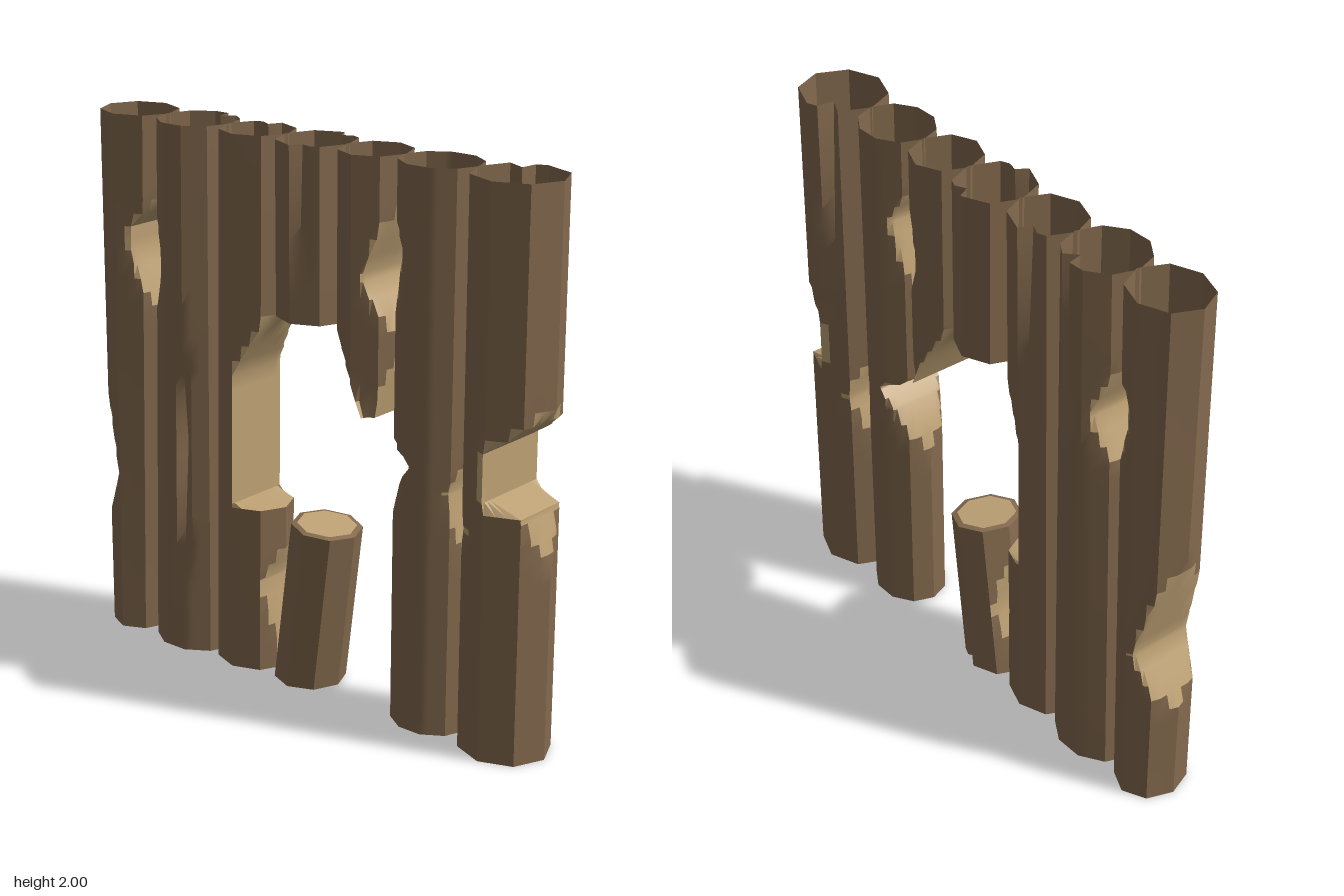
import * as THREE from 'three';
import { toCreasedNormals } from 'three/addons/utils/BufferGeometryUtils.js';

const bark = new THREE.MeshStandardMaterial({ color: 0x846a4e, side: THREE.DoubleSide });
bark.name = 'bark brown';
const wood = new THREE.MeshStandardMaterial({ color: 0xbfa275, side: THREE.DoubleSide });
wood.name = 'cut wood tan';

const lerp = THREE.MathUtils.lerp;

// A bite out of a log's side: reach > 0 eats in from the left edge of x, < 0 from the right.
// It grows from top to deepTop, stays deepest until deepBottom and fades out at bottom.
const bite = (reach, top, deepTop, deepBottom, bottom, power = 1) =>
  ({ reach, top, deepTop, deepBottom, bottom, power });

function biteDepth(b, y) {
  const s = Math.min((b.top - y) / (b.top - b.deepTop), (y - b.bottom) / (b.deepBottom - b.bottom));
  return b.reach * Math.pow(THREE.MathUtils.clamp(s, 0, 1), b.power);
}

// A V-shaped split in the bark, widest at peak (may lie on the log's end)
const crack = (degrees, bottom, peak, top, depth) => ({ degrees, bottom, peak, top, depth });

function crackDepth(c, y) {
  if (y < c.bottom || y > c.top) return 0;
  if (y === c.peak) return c.depth;
  return c.depth * (y < c.peak ? (y - c.bottom) / (c.peak - c.bottom) : (c.top - y) / (c.top - c.peak));
}

function makeMesh(name, positions, material) {
  const g = new THREE.BufferGeometry();
  g.setAttribute('position', new THREE.Float32BufferAttribute(positions, 3));
  const mesh = new THREE.Mesh(toCreasedNormals(g, 0.6), material);
  mesh.name = name;
  return mesh;
}

// Ring heights: every bite and crack corner, with even steps between
function ringHeights(y0, y1, bites, cracks) {
  const marks = [y0, y1];
  bites.forEach(b => marks.push(b.top, b.deepTop, b.deepBottom, b.bottom));
  cracks.forEach(c => marks.push(c.bottom, c.peak, c.top));
  const keys = [...new Set(marks)].filter(y => y >= y0 && y <= y1).sort((a, b) => a - b);
  const ys = [y0];
  for (let i = 1; i < keys.length; i++) {
    const steps = Math.ceil((keys[i] - keys[i - 1]) / 0.06);
    for (let s = 1; s <= steps; s++) ys.push(lerp(keys[i - 1], keys[i], s / steps));
  }
  return ys;
}

// A hollow faceted log; low and high are its [left x, right x] at the two ends
function makeLog({ name, y0 = 0, y1 = 2, low, high = low, depth, sides = 8,
  bites = [], cracks = [], tilt = 0, cap }) {
  const per = 3, n = sides * per;
  const corner = k => [Math.cos(k * 2 * Math.PI / sides), Math.sin(k * 2 * Math.PI / sides)];

  const rings = ringHeights(y0, y1, bites, cracks).map(y => {
    const t = (y - y0) / (y1 - y0);
    const xl = lerp(low[0], high[0], t), xr = lerp(low[1], high[1], t);
    const cx = (xl + xr) / 2, r = (xr - xl) / 2;
    const depths = bites.map(b => biteDepth(b, y));
    const minX = xl + Math.max(0, ...depths), maxX = xr + Math.min(0, ...depths);
    return Array.from({ length: n }, (_, i) => {
      const k = Math.floor(i / per), f = (i % per) / per;
      const a = corner(k), b = corner(k + 1);
      let shrink = 1;
      for (const c of cracks) {
        if (i === Math.round(c.degrees / 360 * n)) shrink -= crackDepth(c, y);
      }
      const x = cx + r * shrink * lerp(a[0], b[0], f);
      const px = Math.min(Math.max(x, minX), maxX);
      const z = depth * shrink * lerp(a[1], b[1], f);
      return { p: [px, y + tilt * t * (px - cx), z], cut: Math.abs(px - x) > 0.004 };
    });
  });

  // Cells lying on a bite become bare wood, the rest stay bark
  const barkPos = [], woodPos = [];
  for (let j = 0; j + 1 < rings.length; j++) {
    for (let i = 0; i < n; i++) {
      const a = rings[j][i], b = rings[j][(i + 1) % n];
      const d = rings[j + 1][i], c = rings[j + 1][(i + 1) % n];
      const cuts = [a, b, c, d].filter(q => q.cut).length;
      (cuts >= 2 ? woodPos : barkPos).push(...a.p, ...d.p, ...b.p, ...b.p, ...d.p, ...c.p);
    }
  }

  // Closed end: a bark rim around a disc of bare wood
  if (cap) {
    const top = cap.end === 'top', ring = rings[top ? rings.length - 1 : 0];
    const mid = [0, 1, 2].map(k => ring.reduce((s, q) => s + q.p[k], 0) / n);
    const inner = ring.map(q => q.p.map((v, k) => lerp(mid[k], v, cap.size) + (k === 1 ? cap.rise : 0)));
    mid[1] += cap.rise;
    const put = (list, p, q, r) => list.push(...p, ...(top ? q : r), ...(top ? r : q));
    for (let i = 0; i < n; i++) {
      const next = (i + 1) % n;
      put(barkPos, ring[i].p, inner[i], ring[next].p);
      put(barkPos, ring[next].p, inner[i], inner[next]);
      put(woodPos, inner[i], mid, inner[next]);
    }
  }

  const group = new THREE.Group();
  group.name = name;
  group.add(makeMesh(name + 'Bark', barkPos, bark));
  if (woodPos.length) group.add(makeMesh(name + 'CutWood', woodPos, wood));
  return group;
}

export function createModel() {
  const model = new THREE.Group();
  model.name = 'brokenLogWall';

  // Logs on the model's right
  model.add(makeLog({
    name: 'farRightLog', low: [-1, -0.76], high: [-1, -0.7], depth: 0.135,
    bites: [bite(0.11, 1.04, 0.63, 0.62, 0.4), bite(-0.09, 1.69, 1.59, 1.5, 1.24)],
  }));
  model.add(makeLog({
    name: 'rightLog', low: [-0.77, -0.43], high: [-0.71, -0.41], depth: 0.147, sides: 10,
    bites: [bite(0.085, 1.69, 1.48, 1.46, 1.24)],
    cracks: [crack(72, 0.2, 0.82, 1.21, 0.35), crack(290, 1.3, 2, 2, 0.4)],
  }));

  // Broken gateway
  model.add(makeLog({
    name: 'rightGateLog', low: [-0.46, -0.165], high: [-0.42, -0.14], depth: 0.13,
    bites: [bite(-0.145, 1.36, 1.13, 0.645, 0.63, 0.75), bite(-0.045, 0.47, 0.36, 0.35, 0)],
    cracks: [crack(255, 1.4, 2, 2, 0.3)],
  }));
  model.add(makeLog({
    name: 'hangingStump', y0: 1.38, low: [-0.15, 0.13], depth: 0.145,
    cracks: [crack(75, 1.5, 2, 2, 0.2), crack(285, 1.45, 2, 2, 0.25)],
    cap: { end: 'bottom', size: 0.68, rise: 0.015 },
  }));
  model.add(makeLog({
    name: 'leaningStump', y1: 0.61, low: [-0.175, 0.09], high: [-0.09, 0.165], depth: 0.13, tilt: -0.12,
    bites: [bite(0.035, 0.5, 0.3, 0.25, 0)],
    cracks: [crack(285, 0, 0, 0.5, 0.3)],
    cap: { end: 'top', size: 0.84, rise: 0.005 },
  }));
  model.add(makeLog({
    name: 'leftGateLog', y0: 1.1, low: [0.12, 0.375], depth: 0.13,
    bites: [bite(0.175, 1.38, 1.1, 1.1, 1, 0.7), bite(-0.095, 1.84, 1.6, 1.57, 1.4),
      bite(-0.05, 1.38, 1.1, 1.1, 1)],
  }));

  // Logs on the model's left
  model.add(makeLog({
    name: 'leftLog', low: [0.365, 0.665], high: [0.37, 0.67], depth: 0.13, sides: 10,
    bites: [bite(0.07, 1.84, 1.7, 1.68, 1.38), bite(0.13, 1.07, 0.975, 0.965, 0.65, 2),
      bite(-0.037, 1.04, 0.9, 0.89, 0.55)],
  }));
  model.add(makeLog({
    name: 'farLeftLog', low: [0.665, 1], depth: 0.155,
    bites: [bite(0.055, 1.04, 0.81, 0.79, 0.55), bite(-0.175, 1.25, 1.1, 0.93, 0.87, 1.4),
      bite(-0.05, 0.93, 0.89, 0.88, 0.7)],
    cracks: [crack(240, 1.3, 2, 2, 0.4)],
  }));
  return model;
}
